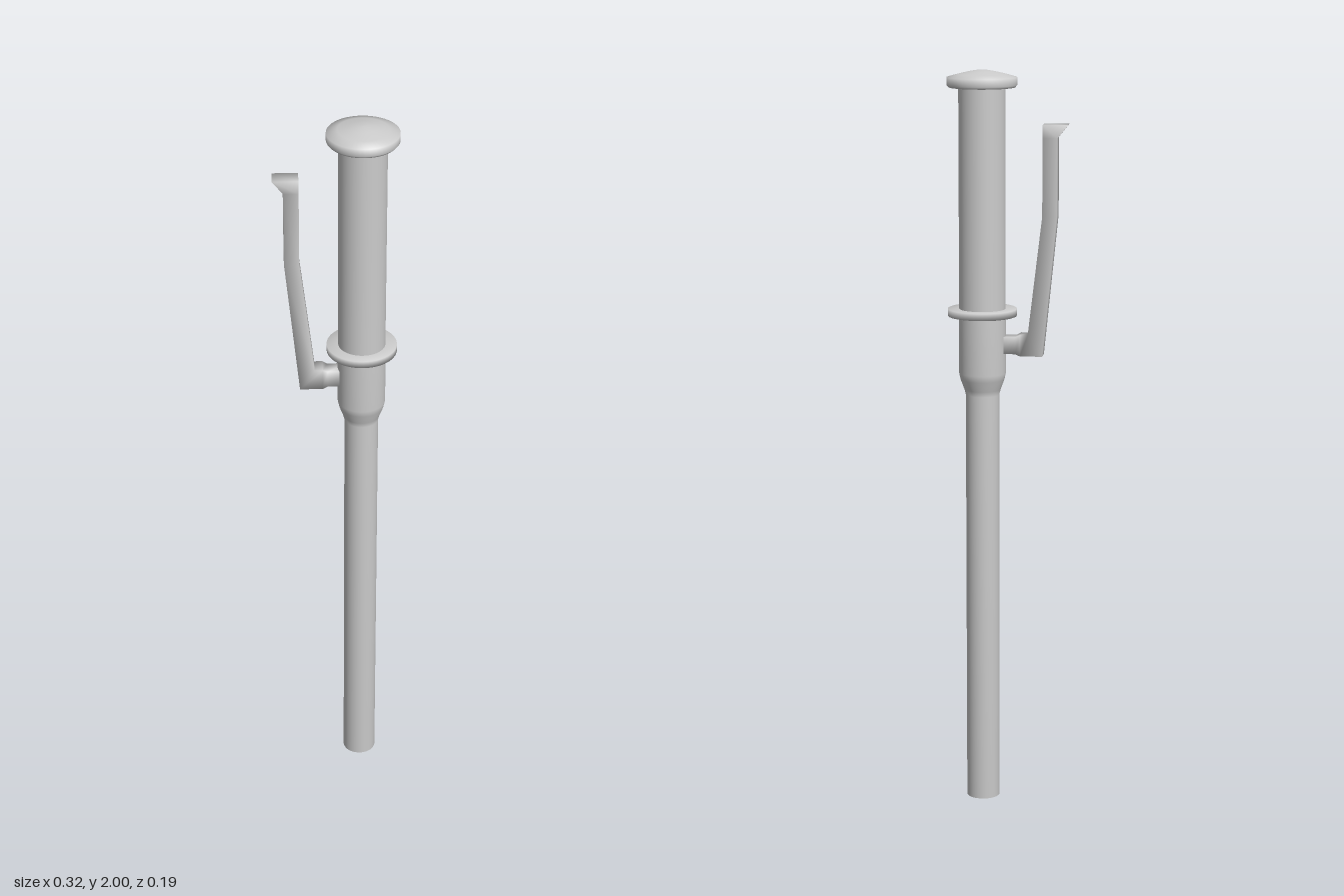
import * as THREE from 'three';

const material = new THREE.MeshStandardMaterial({ color: 0xcccccc });
const AXIS_X = 0.068;

// Smooth turned part around the main axis; profile rows are [radius, y], bottom to top
function turned(name, profile) {
  const points = profile.map(([r, y]) => new THREE.Vector2(r, y));
  const mesh = new THREE.Mesh(new THREE.LatheGeometry(points, 48), material);
  mesh.name = name;
  mesh.position.x = AXIS_X;
  return mesh;
}

// Smooth bar lofted through rectangles; rows are [outerX, outerY, innerX, innerY, halfWidth]
function loftedBar(name, rows) {
  const positions = [];
  const index = [];
  for (const [ox, oy, ix, iy, half] of rows) {
    positions.push(ox, oy, -half, ix, iy, -half, ix, iy, half, ox, oy, half);
  }
  for (let r = 0; r < rows.length - 1; r++) {
    for (let i = 0; i < 4; i++) {
      const a = r * 4 + i;
      const b = r * 4 + (i + 1) % 4;
      index.push(a, b, a + 4, b, b + 4, a + 4);
    }
  }
  // End caps
  const last = (rows.length - 1) * 4;
  index.push(0, 2, 1, 0, 3, 2);
  index.push(last, last + 1, last + 2, last, last + 2, last + 3);

  const geometry = new THREE.BufferGeometry();
  geometry.setAttribute('position', new THREE.Float32BufferAttribute(positions, 3));
  geometry.setIndex(index);
  geometry.computeVertexNormals();
  const mesh = new THREE.Mesh(geometry, material);
  mesh.name = name;
  return mesh;
}

export function createModel() {
  const group = new THREE.Group();
  group.name = 'leverHandle';

  // Long shaft that flares into the collar below the grip
  group.add(turned('shaft', [
    [0, 0], [0.045, 0], [0.045, 1.135],
    [0.049, 1.15], [0.059, 1.177], [0.063, 1.195], [0.063, 1.355],
  ]));

  // Thin guard ring
  group.add(turned('guardRing', [
    [0.05, 1.35], [0.092, 1.35], [0.092, 1.369], [0.05, 1.369],
  ]));

  group.add(turned('grip', [[0.062, 1.36], [0.062, 1.965]]));

  // Shallow domed end cap
  group.add(turned('endCap', [
    [0, 1.955], [0.088, 1.955], [0.093, 1.961], [0.093, 1.981],
    [0.065, 1.989], [0.035, 1.996], [0.015, 1.9995], [0, 2],
  ]));

  // Side lever: flared lip, straight upper arm, slanted lower arm, elbow into the collar
  group.add(loftedBar('lever', [
    [-0.161, 1.86, -0.094, 1.86, 0.0235],
    [-0.133, 1.825, -0.094, 1.825, 0.0235],
    [-0.133, 1.62, -0.094, 1.62, 0.0235],
    [-0.095, 1.245, -0.056, 1.302, 0.0235],
    [-0.035, 1.245, -0.035, 1.302, 0.0235],
    [-0.022, 1.25, -0.022, 1.296, 0.021],
    [0.03, 1.25, 0.03, 1.296, 0.021],
  ]));

  return group;
}
